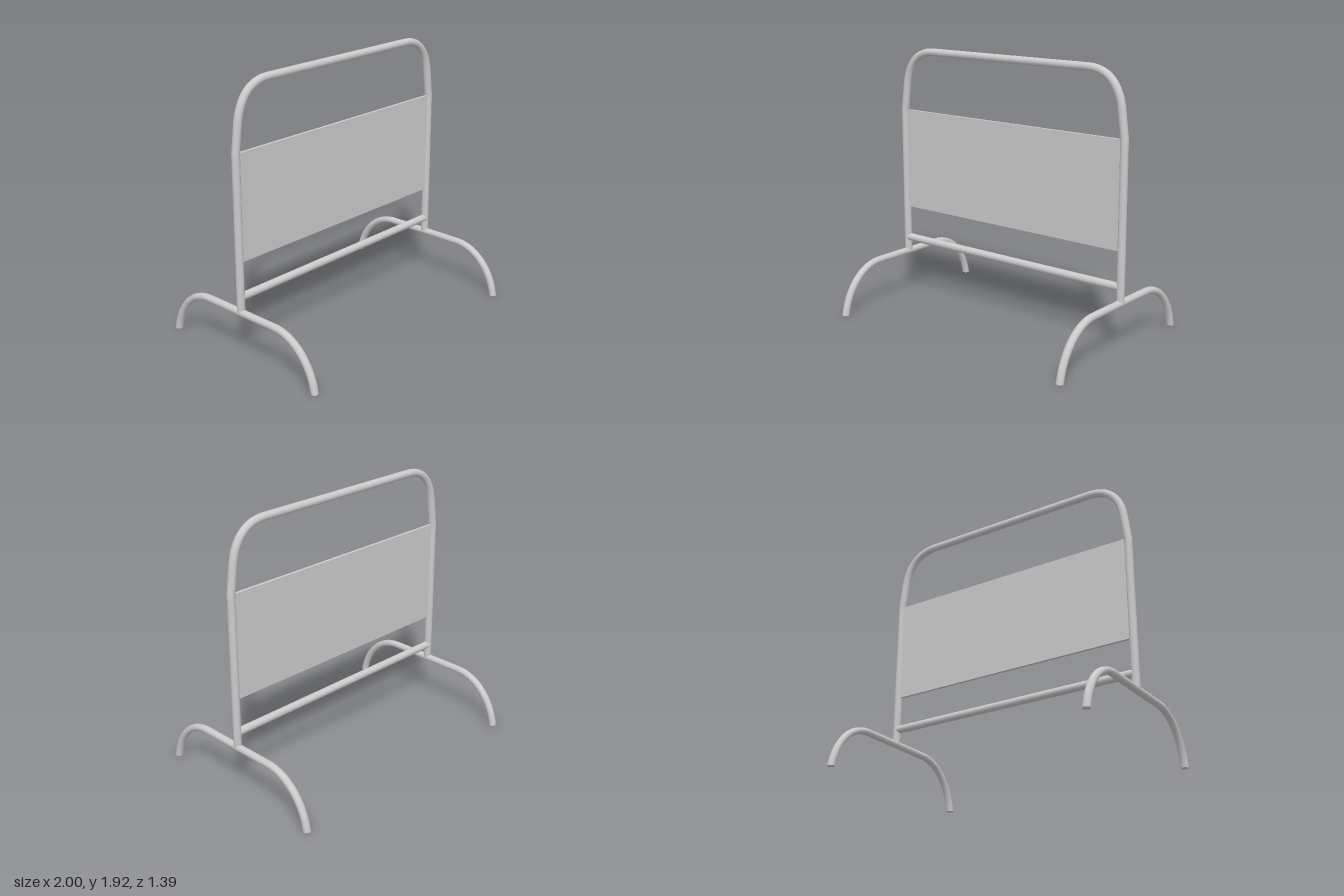
import * as THREE from 'three';

const V = (x, y, z) => new THREE.Vector3(x, y, z);

export function createModel() {
  const model = new THREE.Group();
  const mat = new THREE.MeshStandardMaterial({ color: 0xcccccc });
  const R = 0.028, X = 0.972, Z = -0.003;

  const add = (name, geometry) => {
    const mesh = new THREE.Mesh(geometry, mat);
    mesh.name = name;
    model.add(mesh);
    return mesh;
  };
  const path = (...curves) => {
    const p = new THREE.CurvePath();
    curves.forEach((c) => p.add(c));
    return p;
  };

  // Hooped frame: two posts, rounded shoulders and the top rail
  const shoulder = (s) => [V(s * 0.948, 1.63, Z), V(s * 0.925, 1.79, Z), V(s * 0.84, 1.888, Z), V(s * 0.68, 1.888, Z)];
  const [l, r] = [shoulder(1), shoulder(-1)];
  add('frame', new THREE.TubeGeometry(path(
    new THREE.LineCurve3(V(X, 0.34, Z), V(X, 1.44, Z)),
    new THREE.LineCurve3(V(X, 1.44, Z), l[0]),
    new THREE.CubicBezierCurve3(...l),
    new THREE.LineCurve3(l[3], r[3]),
    new THREE.CubicBezierCurve3(...r.reverse()),
    new THREE.LineCurve3(r[3], V(-X, 1.44, Z)),
    new THREE.LineCurve3(V(-X, 1.44, Z), V(-X, 0.34, Z)),
  ), 160, R, 16));

  // Sign panel between the posts
  add('panel', new THREE.BoxGeometry(1.9, 0.745, 0.02)).position.set(0, 1.072, Z);

  // Lower crossbar
  const bar = add('crossbar', new THREE.CylinderGeometry(R, R, 1.92, 16));
  bar.rotation.z = Math.PI / 2;
  bar.position.set(0, 0.453, Z);

  // Arched feet, cut flat at the ground
  const arch = (s) => [V(0, 0, s * 0.668), V(0, 0.17, s * 0.64), V(0, 0.341, s * 0.51), V(0, 0.341, s * 0.31)];
  const [front, back] = [arch(1), arch(-1).reverse()];
  const legGeometry = new THREE.TubeGeometry(path(
    new THREE.CubicBezierCurve3(...front),
    new THREE.LineCurve3(front[3], back[0]),
    new THREE.CubicBezierCurve3(...back),
  ), 80, 0.025, 16);
  const pos = legGeometry.attributes.position;
  for (let i = 0; i < pos.count; i++) {
    pos.setX(i, pos.getX(i) * 1.1);
    if (pos.getY(i) < 0.008) pos.setY(i, 0);
  }
  for (const [side, s] of [['left', 1], ['right', -1]]) {
    add(side + 'Leg', legGeometry).position.x = s * X;
    for (const [end, e] of [['Front', 1], ['Back', -1]]) {
      const cap = add(side + end + 'FootCap', new THREE.CircleGeometry(0.025, 16));
      cap.rotation.x = Math.PI / 2;
      cap.scale.x = 1.1;
      cap.position.set(s * X, 0, e * 0.668);
    }
  }
  return model;
}
